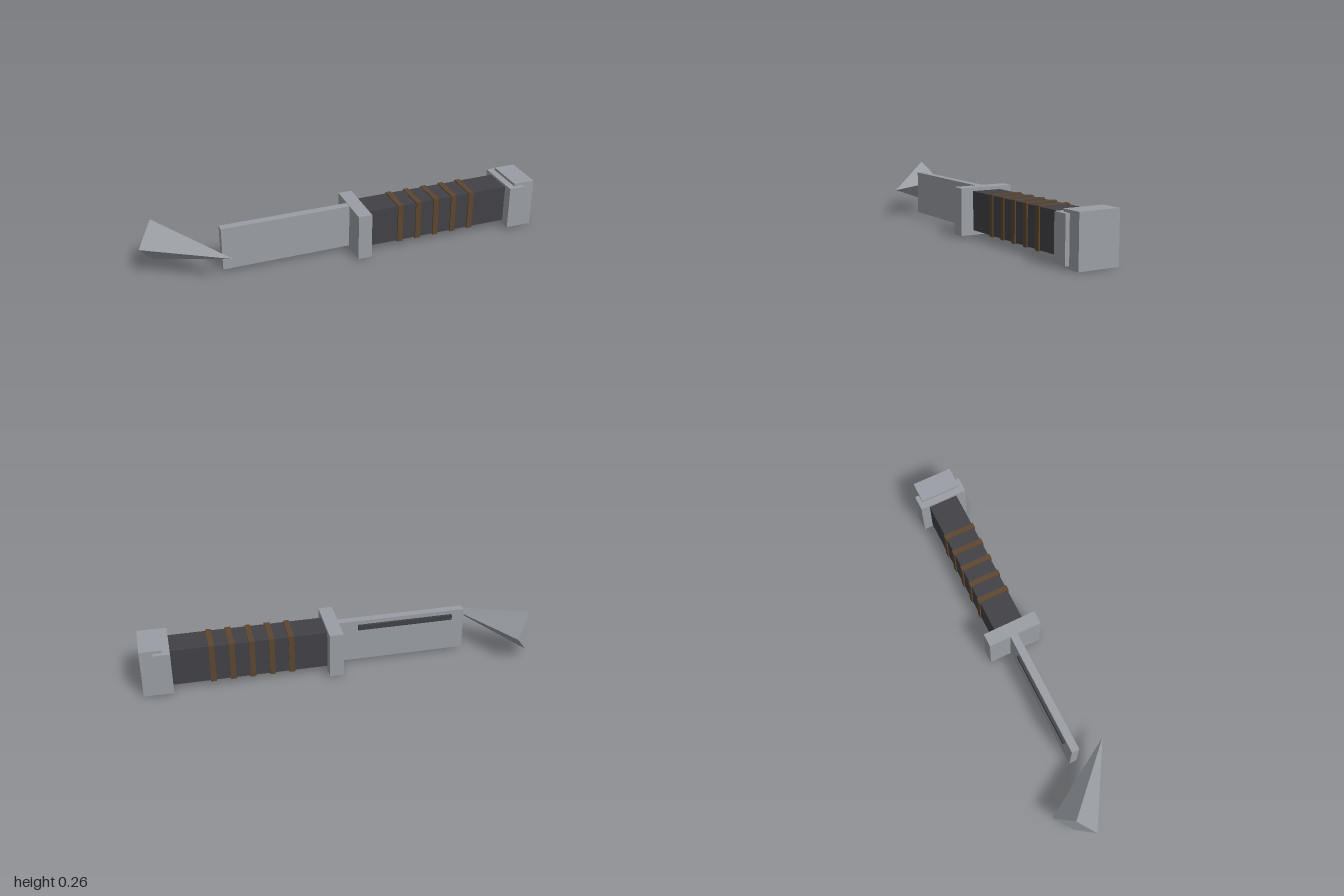
import * as THREE from 'three';

export function createModel() {
  const model = new THREE.Group();
  model.name = 'knife';

  const material = (name, color) => {
    const m = new THREE.MeshStandardMaterial({ color });
    m.name = name;
    return m;
  };
  const steel = material('steel', 0x9a9ea4);
  const darkGrip = material('darkGrip', 0x414045);
  const leather = material('leather', 0x5c4630);

  // Box given by its extents along each axis
  const box = (name, mat, [x0, x1], [y0, y1], [z0, z1]) => {
    const mesh = new THREE.Mesh(new THREE.BoxGeometry(x1 - x0, y1 - y0, z1 - z0), mat);
    mesh.position.set((x0 + x1) / 2, (y0 + y1) / 2, (z0 + z1) / 2);
    mesh.name = name;
    model.add(mesh);
  };

  // Blade with a dark groove strip on its back face
  box('blade', steel, [-0.625, 0.025], [0.02, 0.24], [0.013, 0.052]);
  box('bladeGroove', darkGrip, [-0.56, -0.075], [0.193, 0.219], [0.001, 0.014]);

  // Guard, grip and stepped pommel
  box('guard', steel, [0.022, 0.092], [0.01, 0.242], [-0.099, 0.178]);
  box('grip', darkGrip, [0.09, 0.86], [0.034, 0.225], [-0.039, 0.112]);
  box('pommelCollar', steel, [0.855, 0.935], [0.016, 0.236], [-0.085, 0.164]);
  box('pommel', steel, [0.89, 1.0], [0.002, 0.25], [-0.063, 0.143]);

  // Leather bands around the grip
  for (let i = 0; i < 5; i++) {
    const x = 0.27 + i * 0.097;
    box('gripBand', leather, [x - 0.014, x + 0.014], [0.029, 0.23], [-0.045, 0.118]);
  }

  // Detached four-sided tip, lying level and turned 45 degrees
  const tipShape = new THREE.ConeGeometry(0.11, 0.447, 4).toNonIndexed();
  tipShape.computeVertexNormals();
  const tip = new THREE.Mesh(tipShape, steel);
  tip.rotation.set(0, -Math.PI / 4, -Math.PI / 2);
  tip.position.set(-0.764, 0.154, 0.036);
  tip.name = 'bladeTip';
  model.add(tip);

  return model;
}
